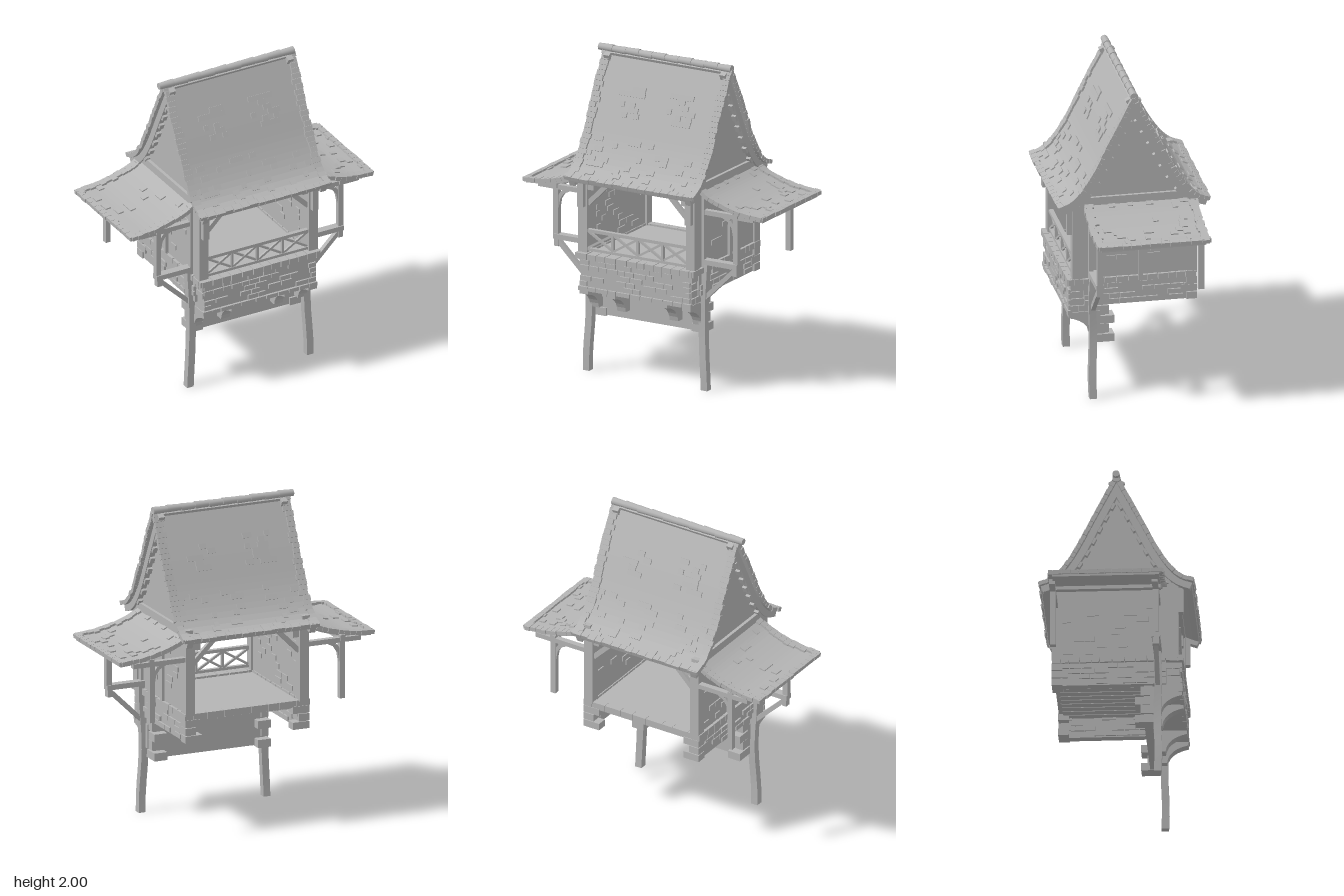
import * as THREE from 'three';
import { mergeGeometries } from 'three/addons/utils/BufferGeometryUtils.js';

const grey = new THREE.MeshStandardMaterial({ color: 0xb4b4b4 });
grey.name = 'plain grey';

// small seeded random
let seed = 7;
const rnd = () => ((seed = (seed * 16807) % 2147483647) / 2147483647);
const vary = (a, b) => a + (b - a) * rnd();
const V = (x, y, z) => new THREE.Vector3(x, y, z);
const sides = [-1, 1];

function box(w, h, d, x, y, z) {
  return new THREE.BoxGeometry(w, h, d).translate(x, y, z);
}
// box given by its limits
function span(x0, x1, y0, y1, z0, z1) {
  return box(Math.abs(x1 - x0), y1 - y0, z1 - z0, (x0 + x1) / 2, (y0 + y1) / 2, (z0 + z1) / 2);
}
// square timber between two points
function beam(a, b, t, t2 = t) {
  const m = new THREE.Object3D();
  m.position.copy(a).add(b).multiplyScalar(0.5);
  m.lookAt(b);
  m.updateMatrix();
  return new THREE.BoxGeometry(t, t2, a.distanceTo(b)).applyMatrix4(m.matrix);
}
function part(parent, name, geos) {
  const mesh = new THREE.Mesh(mergeGeometries(geos.map(g => (g.index ? g.toNonIndexed() : g))), grey);
  mesh.name = name;
  parent.add(mesh);
  return mesh;
}
// scattered raised bricks in running bond; place(u, v, w, h) returns a geometry
function bricks(u0, u1, v0, v1, rows, length, chance, place) {
  const out = [], h = (v1 - v0) / rows;
  for (let r = 0; r < rows; r++) {
    let u = u0;
    while (u < u1 - 0.015) {
      const w = Math.min(vary(0.7, 1.3) * length, u1 - u);
      if (rnd() < chance) out.push(place(u + w / 2, v0 + (r + 0.5) * h, w * 0.93, h * 0.85));
      u += w;
    }
  }
  return out;
}
// curved strip under a profile, extruded along z
function strip(curve, top, bottom, z0, z1, n = 22) {
  const upper = [], lower = [];
  for (let i = 0; i <= n; i++) {
    const p = curve.getPointAt(i / n), t = curve.getTangentAt(i / n);
    upper.push(new THREE.Vector2(p.x + t.y * top, p.y - t.x * top));
    lower.unshift(new THREE.Vector2(p.x + t.y * bottom, p.y - t.x * bottom));
  }
  return new THREE.ExtrudeGeometry(new THREE.Shape([...upper, ...lower]), { depth: z1 - z0, bevelEnabled: false }).translate(0, 0, z0);
}
// shingle lying on a profile at parameter u
function shingle(curve, u, z, len, width, thick = 0.016) {
  const p = curve.getPointAt(u), t = curve.getTangentAt(u);
  return new THREE.BoxGeometry(len, thick, width).rotateZ(Math.atan2(t.y, t.x) - 0.03).translate(p.x, p.y, z);
}
// roof slope: slab, ragged edge shingles and scattered raised shingles
function slope(curve, z0, z1, rows, chance) {
  const geos = [strip(curve, 0, 0.026, z0 + 0.025, z1 - 0.025)];
  const len = curve.getLength() / rows;
  for (let r = 0; r < rows; r++) {
    const u = (r + 0.5) / rows;
    for (const end of [0, 1]) {
      const w = vary(0.04, 0.065), out = vary(-0.004, 0.006);
      const z = end ? z1 + out - w / 2 : z0 - out + w / 2;
      geos.push(shingle(curve, u, z, len * 0.95, w, 0.026));
    }
    for (let z = z0 + 0.06; z < z1 - 0.08;) {
      const w = vary(0.03, 0.06);
      if (rnd() < chance(u, z + w / 2)) geos.push(shingle(curve, u, z + w / 2, len, w));
      z += w;
    }
  }
  // ragged eave
  for (let z = z0 + 0.005; z < z1 - 0.02;) {
    const w = Math.min(vary(0.04, 0.07), z1 - z);
    geos.push(shingle(curve, 0.985, z + w / 2, vary(0.03, 0.045), w * 0.95, 0.024));
    z += w;
  }
  return geos;
}
const spline = pts => new THREE.SplineCurve(pts.map(p => new THREE.Vector2(...p)));

export function createModel() {
  const model = new THREE.Group();
  model.name = 'balconyHouse';

  // steep main roof with flared eaves
  const mainCurve = spline([[0, 1.965], [0.14, 1.69], [0.24, 1.49], [0.32, 1.365], [0.39, 1.298], [0.465, 1.268]]);
  const patches = (u, z) => {
    if (u > 0.62) return 0.2;
    return u > 0.22 && u < 0.45 && Math.abs(Math.abs(z) - 0.18) < 0.09 ? 0.45 : 0.0;
  };
  for (const s of sides) {
    part(model, 'mainRoofSlope', slope(mainCurve, -0.455, 0.455, 26, patches)).rotation.y = -s * Math.PI / 2;
    // barge boards with small pegs under the gable edges
    const trim = [];
    for (const e of sides) {
      trim.push(strip(mainCurve, 0.026, 0.055, e * 0.41 - 0.02, e * 0.41 + 0.02));
      for (let i = 2; i < 9; i++) {
        const p = mainCurve.getPointAt(i / 10), t = mainCurve.getTangentAt(i / 10);
        trim.push(new THREE.BoxGeometry(0.04, 0.022, 0.04).rotateZ(Math.atan2(t.y, t.x)).translate(p.x + t.y * 0.06, p.y - t.x * 0.06, e * 0.405));
      }
    }
    part(model, 'bargeBoards', trim).rotation.y = -s * Math.PI / 2;
  }

  // ridge cap of overlapping round tiles
  const ridge = [];
  for (let i = 0; i < 10; i++) {
    ridge.push(new THREE.CylinderGeometry(0.021, 0.025, 0.1, 10).rotateZ(Math.PI / 2).translate(-0.435 + i * 0.093, 1.975 - (i % 2) * 0.002, 0));
  }
  part(model, 'ridgeCap', ridge);

  // gable walls, tie beams and ceiling
  const gable = new THREE.Shape([[-0.31, 1.29], [0.31, 1.29], [0.2, 1.5], [0, 1.91], [-0.2, 1.5]].map(p => new THREE.Vector2(...p)));
  for (const s of sides) {
    part(model, 'gableWall', [new THREE.ExtrudeGeometry(gable, { depth: 0.03, bevelEnabled: false })
      .translate(0, 0, -0.015).rotateY(Math.PI / 2).translate(s * 0.38, 0, 0)]);
  }
  part(model, 'tieBeams', sides.flatMap(s => [
    span(s * 0.365, s * 0.415, 1.265, 1.315, -0.4, 0.33),
    span(-0.4, 0.4, 1.25, 1.285, s * 0.35 - 0.025, s * 0.35 + 0.025)]));
  part(model, 'ceiling', [span(-0.38, 0.38, 1.265, 1.28, -0.36, 0.36)]);

  // side awnings, beams, posts and braces
  const awningCurve = spline([[0.4, 1.268], [0.48, 1.225], [0.58, 1.192], [0.7, 1.166], [0.838, 1.155]]);
  for (const s of sides) {
    const z0 = s > 0 ? -0.395 : -0.305;
    part(model, 'awningRoof', slope(awningCurve, z0, z0 + 0.7, 12, () => 0.13)).rotation.y = s > 0 ? 0 : Math.PI;
    const frame = [span(s * 0.62, s * 0.655, 1.125, 1.16, -0.395, 0.28)];
    for (const z of [0.25, -0.375]) {
      frame.push(span(s * 0.4, s * 0.76, 1.115, 1.145, z - 0.018, z + 0.018));
      frame.push(span(s * 0.618, s * 0.652, z > 0 ? 0.83 : 0.76, 1.125, z - 0.018, z + 0.018));
      // curved bracket on the post head
      const arc = [[0.63, 0.99], [0.617, 1.06], [0.59, 1.1], [0.54, 1.125]];
      for (let i = 0; i < 3; i++) {
        frame.push(beam(V(s * arc[i][0], arc[i][1], z), V(s * arc[i + 1][0], arc[i + 1][1], z), 0.024));
      }
    }
    part(model, 'awningFrame', frame);
    part(model, 'sideBracket', [
      span(s * 0.38, s * 0.65, 0.8, 0.832, 0.225, 0.275),
      span(s * 0.615, s * 0.645, 0.755, 0.82, 0.23, 0.27),
      beam(V(s * 0.415, 0.585, 0.25), V(s * 0.625, 0.79, 0.25), 0.028)]);

    // slightly crooked leg
    const leg = new THREE.BoxGeometry(0.045, 0.8, 0.045, 1, 8, 1).translate(0, 0.4, 0);
    const pos = leg.attributes.position;
    for (let i = 0; i < pos.count; i++) {
      const y = pos.getY(i);
      pos.setX(i, pos.getX(i) + s * (0.408 + 0.009 * Math.cos(y * 7.5)));
      pos.setZ(i, pos.getZ(i) + 0.25 + 0.004 * Math.sin(y * 12));
    }
    leg.computeVertexNormals();
    part(model, 'leg', [leg]);

    // side wall with raised stones on both faces
    const wall = [span(s * 0.365, s * 0.4, 0.77, 1.27, -0.375, 0.32)];
    for (const x of [0.4, 0.365]) {
      wall.push(...bricks(-0.33, 0.24, 0.8, 1.14, 8, 0.07, 0.2, (u, v, w, h) => box(0.014, h * 0.85, w, s * x, v, u)));
    }
    part(model, 'sideWall', wall);
    part(model, 'wallStuds', [span(s * 0.375, s * 0.418, 0.78, 1.25, -0.06, -0.032), span(s * 0.375, s * 0.418, 0.78, 1.25, 0.245, 0.275)]);

    // corner posts and knee braces at the open front and back
    const posts = [];
    for (const z of [0.345, -0.365]) {
      const e = Math.sign(z);
      posts.push(span(s * 0.35, s * 0.412, 0.77, 1.27, z - 0.03, z + 0.03));
      posts.push(beam(V(s * 0.355, 1.09, z), V(s * 0.19, 1.255, z), 0.024, 0.03));
      posts.push(span(s * 0.31, s * 0.355, 1.18, 1.26, z - 0.02, z + 0.02));
      if (e > 0) posts.push(span(s * 0.36, s * 0.4, 1.075, 1.24, 0.375, 0.405));
    }
    part(model, 'cornerPosts', posts);

    // stone skirt below the side wall
    const skirt = [span(s * 0.35, s * 0.4, 0.6, 0.75, -0.385, 0.3)];
    for (const x of [0.403, 0.347]) {
      skirt.push(...bricks(-0.38, 0.3, 0.605, 0.745, 4, 0.08, 0.5, (u, v, w, h) => box(0.016, h, w, s * x, v, u)));
    }
    skirt.push(...bricks(-0.395, 0.4, 0.745, 0.785, 1, 0.06, 1, (u, v, w, h) => box(0.06, h * vary(1, 1.15), w, s * 0.388, v, u)));
    // quoins at the back corner
    for (let i = 0; i < 3; i++) {
      const w = i % 2 ? 0.07 : 0.11;
      skirt.push(span(s * (0.413 - w), s * 0.413, 0.6 + i * 0.05, 0.645 + i * 0.05, -0.395, -0.395 + (i % 2 ? 0.1 : 0.065)));
    }
    part(model, 'sideSkirt', skirt);

    // quoins on the lower panel
    part(model, 'panelQuoins', [0, 1, 2, 3].map(i => {
      const w = i % 2 ? 0.045 : 0.085, y = 0.35 + i * 0.06;
      return span(s * (0.388 - w), s * 0.388, y, y + (i % 2 ? 0.058 : 0.05), i % 2 ? 0.145 : 0.11, 0.228);
    }));
  }

  // floor, its underside planks and the back sill
  const floor = [span(-0.37, 0.37, 0.745, 0.77, -0.38, 0.34)];
  for (let i = 0; i < 13; i++) floor.push(box(0.046, 0.02, 0.57, -0.324 + i * 0.054, 0.737, -0.08));
  part(model, 'floorPlanks', floor);
  part(model, 'backSill', bricks(-0.4, 0.4, 0.735, 0.785, 1, 0.09, 1, (u, v, w, h) => box(w * 1.05, h, 0.045, u, v, -0.368)));

  // front stone apron with raised bricks and a coping course
  part(model, 'frontApron', [
    span(-0.385, 0.385, 0.55, 0.76, 0.24, 0.385),
    ...bricks(-0.39, 0.39, 0.575, 0.745, 5, 0.07, 0.5, (u, v, w, h) => box(w, h, 0.02, u, v, 0.386)),
    ...bricks(-0.4, 0.4, 0.545, 0.575, 1, 0.08, 1, (u, v, w, h) => box(w, h, 0.025, u, v, 0.388)),
    ...bricks(-0.41, 0.41, 0.745, 0.785, 1, 0.06, 1, (u, v, w, h) => box(w, h * vary(1, 1.15), 0.09, u, v, 0.36)),
    ...sides.flatMap(s => bricks(0.25, 0.385, 0.56, 0.745, 4, 0.07, 0.5, (u, v, w, h) => box(0.02, h, w, s * 0.386, v, u)))]);

  // lower panel
  part(model, 'lowerPanel', [span(-0.375, 0.375, 0.355, 0.745, 0.165, 0.215)]);

  // curved corbels carrying the apron
  const corbel = new THREE.Shape();
  corbel.moveTo(0.2, 0.56);
  corbel.lineTo(0.2, 0.41);
  corbel.lineTo(0.265, 0.41);
  corbel.quadraticCurveTo(0.275, 0.5, 0.395, 0.525);
  corbel.lineTo(0.395, 0.56);
  part(model, 'corbels', [-0.36, -0.17, 0.2, 0.365].map(x =>
    new THREE.ExtrudeGeometry(corbel, { depth: 0.06, bevelEnabled: false, curveSegments: 6 }).rotateY(-Math.PI / 2).translate(x + 0.03, 0, 0)));

  // front railing with crossed bars
  const z = 0.355, rail = [span(-0.355, 0.355, 0.912, 0.932, z - 0.014, z + 0.014), span(-0.355, 0.355, 0.795, 0.812, z - 0.012, z + 0.012)];
  for (let i = 0; i < 4; i++) {
    const a = -0.352 + i * 0.176, b = a + 0.176;
    rail.push(beam(V(a, 0.81, z), V(b, 0.915, z), 0.014), beam(V(a, 0.915, z - 0.004), V(b, 0.81, z - 0.004), 0.014));
    if (i) rail.push(box(0.016, 0.12, 0.02, a, 0.862, z));
  }
  part(model, 'railing', rail);

  return model;
}
